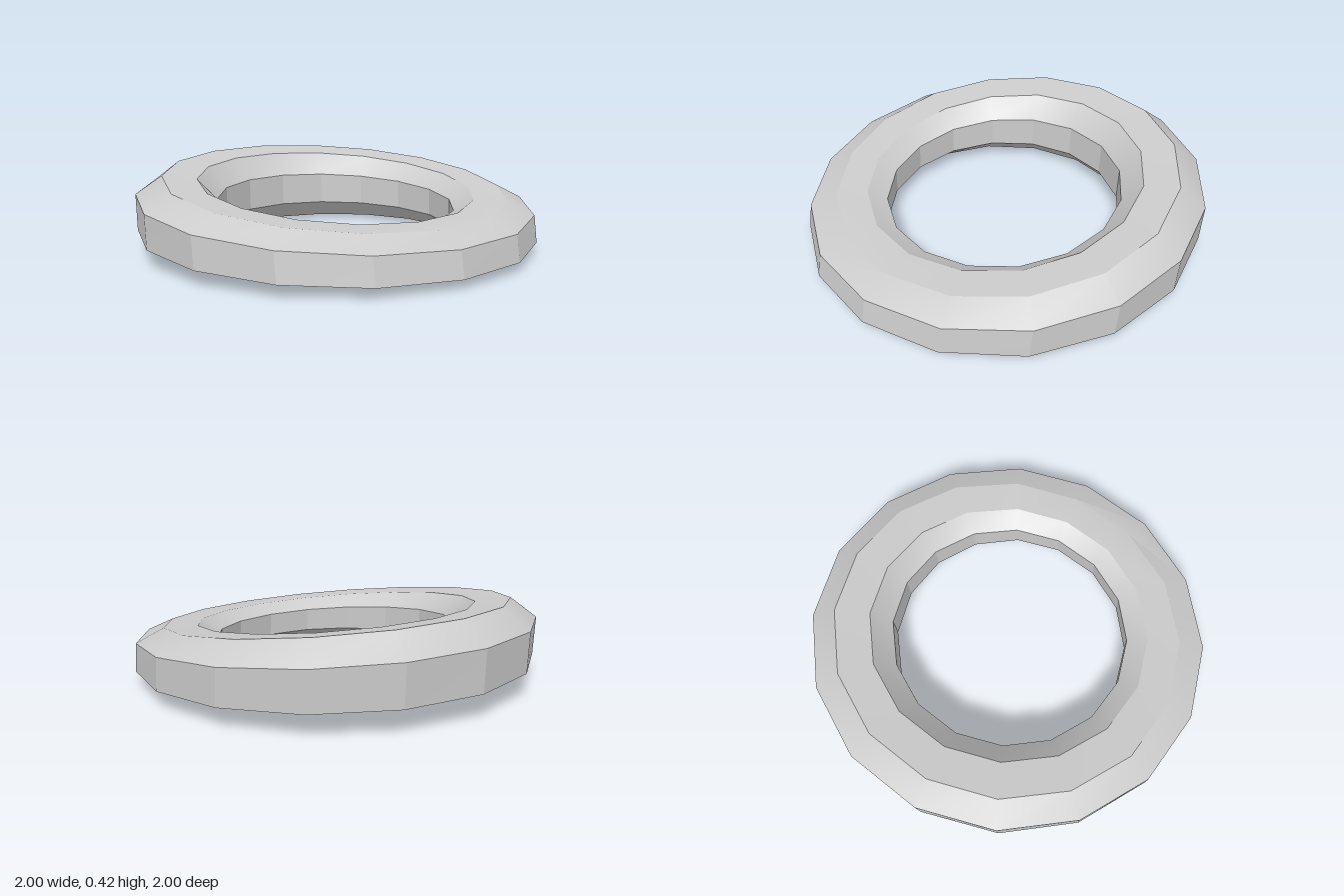
import * as THREE from 'three';
import { toCreasedNormals } from 'three/addons/utils/BufferGeometryUtils.js';

const SIDES = 16;
const TWIST = -THREE.MathUtils.degToRad(3.3);

// Each loop is a tilted circle: radius in x, radius in z, centre z, centre y, rise towards the back
const LOOPS = [
  [1.0, 0.998, 0.003, 0.082, 0.038],   // outer wall, lower edge
  [1.0, 0.99, -0.012, 0.242, 0.078],   // outer wall, upper edge
  [0.87, 0.857, -0.015, 0.32, 0.117],  // top face, outer edge
  [0.7, 0.695, -0.006, 0.31, 0.117],   // top face, inner edge
  [0.6, 0.597, -0.004, 0.228, 0.078],  // bore, upper edge
  [0.6, 0.598, 0.001, 0.085, 0.038],   // bore, lower edge
  [0.7, 0.697, 0.014, 0.008, 0.011],   // underside, lowest edge
];

// Closed skin around the ring, joining each loop to the next and the last to the first
function ringGeometry() {
  const positions = [];
  const indices = [];
  for (const [rx, rz, cz, cy, rise] of LOOPS) {
    for (let i = 0; i < SIDES; i++) {
      const t = (i / SIDES) * Math.PI * 2 + TWIST;
      const z = cz + rz * Math.cos(t);
      positions.push(rx * Math.sin(t), cy - rise * z, z);
    }
  }
  for (let j = 0; j < LOOPS.length; j++) {
    const lower = j * SIDES;
    const upper = ((j + 1) % LOOPS.length) * SIDES;
    for (let i = 0; i < SIDES; i++) {
      const n = (i + 1) % SIDES;
      indices.push(lower + i, lower + n, upper + n, lower + i, upper + n, upper + i);
    }
  }
  const geometry = new THREE.BufferGeometry();
  geometry.setAttribute('position', new THREE.Float32BufferAttribute(positions, 3));
  geometry.setIndex(indices);
  // Walls stay faceted, shallow bevels stay smooth
  return toCreasedNormals(geometry, THREE.MathUtils.degToRad(20));
}

export function createModel() {
  const group = new THREE.Group();
  group.name = 'wedgeRing';
  const ring = new THREE.Mesh(ringGeometry(), new THREE.MeshStandardMaterial({ color: 0xcccccc }));
  ring.name = 'ring';
  group.add(ring);
  return group;
}
